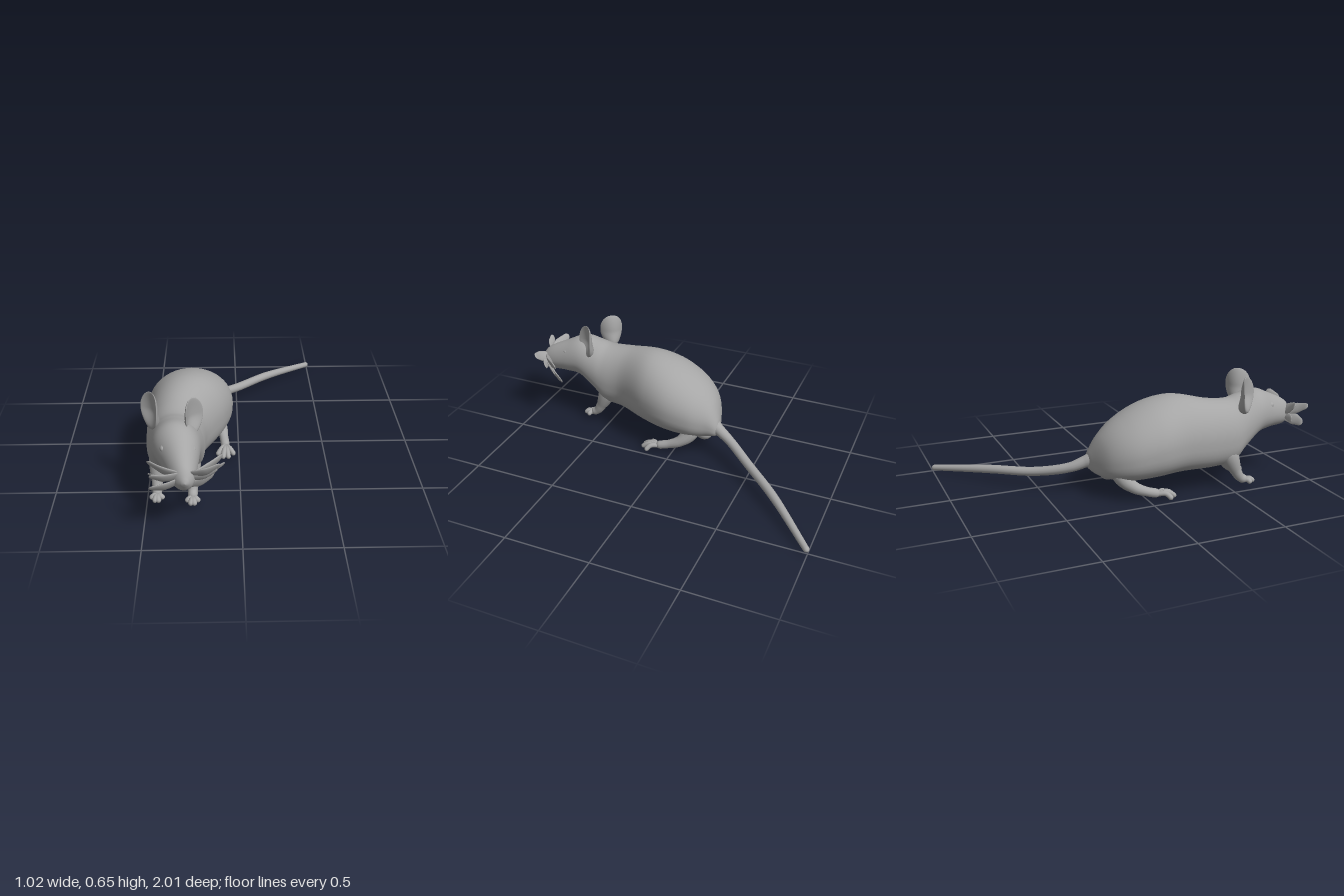
import * as THREE from 'three';

const V = (x, y, z) => new THREE.Vector3(x, y, z);

// Smooth skin over a list of closed rings of points
function skin(rings) {
  const n = rings[0].length, idx = [];
  for (let i = 0; i < rings.length - 1; i++) {
    for (let j = 0; j < n; j++) {
      const a = i * n + j, b = i * n + (j + 1) % n;
      idx.push(a, b, a + n, b, b + n, a + n);
    }
  }
  const g = new THREE.BufferGeometry().setFromPoints(rings.flat());
  g.setIndex(idx);
  g.computeVertexNormals();
  return g;
}

// Round-ended limb through points [x, y, z, radius]; flat squashes the section
function limb(pts, flat = 1, hint = V(1, 0, 0), steps = 32, sides = 14) {
  const spots = pts.map(p => V(p[0], p[1], p[2]));
  const curve = new THREE.CatmullRomCurve3(spots);
  const last = pts.length - 1, rings = [];
  const cap = (i, j) => Math.min(0.3, pts[i][3] / (spots[i].distanceTo(spots[j]) * last));
  const e0 = cap(0, 1), e1 = cap(last, last - 1);
  for (let i = 0; i <= steps; i++) {
    const u = (1 - Math.cos(Math.PI * i / steps)) / 2;
    const k = Math.min(last - 1, Math.floor(u * last));
    let r = THREE.MathUtils.lerp(pts[k][3], pts[k + 1][3], u * last - k);
    if (u < e0) r *= Math.sqrt(Math.max(0, 1 - ((e0 - u) / e0) ** 2));
    if (u > 1 - e1) r *= Math.sqrt(Math.max(0, 1 - ((u - 1 + e1) / e1) ** 2));
    const c = curve.getPoint(u), t = curve.getTangent(u);
    const n = hint.clone().addScaledVector(t, -hint.dot(t)).normalize();
    const b = t.clone().cross(n), ring = [];
    for (let j = 0; j < sides; j++) {
      const a = j / sides * Math.PI * 2;
      ring.push(c.clone().addScaledVector(n, r * Math.cos(a)).addScaledVector(b, r * flat * Math.sin(a)));
    }
    rings.push(ring);
  }
  return skin(rings);
}

// Trunk, neck and head: stations [z, x min, x max, y top, y bottom]
function bodyGeometry() {
  const stations = [
    [-0.268, -0.17, -0.15, 0.2, 0.18], [-0.255, -0.235, -0.13, 0.25, 0.145], [-0.2, -0.38, -0.1, 0.36, 0.12],
    [-0.1, -0.47, -0.05, 0.45, 0.108], [0.05, -0.51, -0.033, 0.526, 0.114], [0.2, -0.503, -0.07, 0.555, 0.126],
    [0.4, -0.5, -0.172, 0.522, 0.135], [0.52, -0.493, -0.187, 0.513, 0.15], [0.59, -0.475, -0.194, 0.528, 0.21],
    [0.7, -0.448, -0.204, 0.549, 0.288], [0.8, -0.4, -0.213, 0.51, 0.302], [0.93, -0.335, -0.232, 0.445, 0.312],
    [0.975, -0.285, -0.265, 0.385, 0.37],
  ];
  const xs = new THREE.CatmullRomCurve3(stations.map(s => V(s[1], s[2], s[0])));
  const ys = new THREE.CatmullRomCurve3(stations.map(s => V(s[3], s[4], s[0])));
  const rings = [], steps = 96, sides = 48;
  for (let i = 0; i <= steps; i++) {
    const p = xs.getPoint(i / steps), q = ys.getPoint(i / steps), ring = [];
    const shut = i === 0 || i === steps ? 0.001 : 1;
    const cy = q.y + (q.x - q.y) * 0.45;
    // the belly is squarer than the back, the head is round
    const belly = 0.76 + 0.24 * THREE.MathUtils.smoothstep(p.z, 0.5, 0.75);
    for (let j = 0; j < sides; j++) {
      const a = j / sides * Math.PI * 2, e = a > Math.PI ? belly : 1;
      const c = Math.sign(Math.cos(a)) * Math.abs(Math.cos(a)) ** e;
      const s = Math.sign(Math.sin(a)) * Math.abs(Math.sin(a)) ** e;
      ring.push(V((p.x + p.y) / 2 + shut * (p.y - p.x) / 2 * c,
        cy + shut * s * (s > 0 ? q.x - cy : cy - q.y), p.z));
    }
    rings.push(ring);
  }
  return skin(rings);
}

// Cupped ear with a thick root, facing +z before it is turned
function earGeometry() {
  const g = new THREE.SphereGeometry(1, 40, 32), p = g.attributes.position;
  for (let i = 0; i < p.count; i++) {
    const x = p.getX(i), y = p.getY(i), z = p.getZ(i);
    const root = Math.max(0, -y) ** 1.5;
    p.setXYZ(i, x * (0.07 + 0.008 * y), y * 0.105,
      z * (0.01 + 0.05 * root) + 0.035 * x * x + 0.012 * y * y - 0.02);
  }
  g.computeVertexNormals();
  return g;
}

export function createModel() {
  const model = new THREE.Group();
  model.name = 'mouse';
  const fur = new THREE.MeshStandardMaterial({ color: 0xa6a6a6 });
  fur.name = 'grey';
  const add = (name, geo, parent = model) => {
    const m = new THREE.Mesh(geo, fur);
    m.name = name;
    parent.add(m);
    return m;
  };
  const ball = (name, x, y, z, r) => {
    const m = add(name, new THREE.SphereGeometry(r, 24, 16));
    m.position.set(x, y, z);
    m.scale.z = 1.2;
  };

  add('body', bodyGeometry());

  // Tail
  add('tail', limb([
    [-0.19, 0.215, -0.2, 0.048], [-0.163, 0.185, -0.27, 0.034], [-0.128, 0.15, -0.35, 0.028],
    [0, 0.105, -0.51, 0.026], [0.2, 0.08, -0.72, 0.025], [0.505, 0.025, -1, 0.017],
  ], 1, V(0.75, 0, 0.66), 64));

  // Ears
  for (const [name, x, z, turn] of [['leftEar', -0.244, 0.638, 0.95], ['rightEar', -0.456, 0.572, -0.9]]) {
    const ear = add(name, earGeometry());
    ear.position.set(x, 0.55, z);
    ear.rotation.y = turn;
  }

  // Eyes, and the rounded lobes below the tail
  ball('leftEye', -0.242, 0.455, 0.785, 0.018);
  ball('rightEye', -0.385, 0.455, 0.775, 0.018);
  ball('leftLobe', -0.175, 0.138, -0.17, 0.043);
  ball('rightLobe', -0.245, 0.138, -0.165, 0.043);

  // Legs with fanned toes; the right ones are mirrored and set slightly back
  const frontPath = [[-0.28, 0.27, 0.49, 0.07], [-0.263, 0.18, 0.53, 0.052], [-0.256, 0.115, 0.56, 0.033],
    [-0.255, 0.07, 0.59, 0.026], [-0.255, 0.048, 0.63, 0.026]];
  const hindPath = [[-0.175, 0.24, -0.06, 0.085], [-0.14, 0.15, -0.1, 0.053], [-0.1, 0.09, -0.05, 0.034],
    [-0.086, 0.058, 0.02, 0.026], [-0.076, 0.036, 0.1, 0.026]];
  const addLeg = (name, path, mirror, spread, reach, toeY) => {
    for (const side of ['left', 'right']) {
      const g = new THREE.Group();
      g.name = side + name;
      const place = ([x, y, z, r]) => side === 'right' ? [mirror - x, y, z - 0.03, r] : [x, y, z, r];
      add('leg', limb(path.map(place)), g);
      const [x, y, z] = path.at(-1);
      for (let k = -1.5; k < 2; k++) {
        const dx = k * spread, dz = reach - 0.018 * k * k;
        add('toe', limb([
          [x, y, z - 0.02, 0.014], [x + dx / 2, y + 0.004, z + dz / 2, 0.015], [x + dx, toeY, z + dz, 0.014],
        ].map(place), 1, V(1, 0, 0), 20, 12), g);
      }
      model.add(g);
    }
  };
  addLeg('FrontLeg', frontPath, -0.7, 0.025, 0.05, 0.036);
  addLeg('HindLeg', hindPath, -0.495, 0.034, 0.095, 0.012);

  // Flat whisker clumps fanning from the muzzle: tip x, y, z and widest half-width
  const tips = [
    [-0.46, 0.455, 0.89, 0.036], [-0.44, 0.44, 0.995, 0.032], [-0.45, 0.342, 0.955, 0.034], [-0.46, 0.37, 0.87, 0.02],
    [-0.105, 0.46, 0.93, 0.034], [-0.095, 0.42, 0.79, 0.042], [-0.14, 0.295, 0.77, 0.036], [-0.085, 0.375, 0.79, 0.026],
    [-0.12, 0.39, 0.87, 0.03],
  ];
  tips.forEach(([x, y, z, w], i) => {
    const rootX = x < -0.27 ? -0.305 : -0.25, rootY = 0.37 + (y - 0.37) * 0.3;
    add('whiskerClump' + (i + 1), limb([
      [rootX, rootY, 0.92, w * 0.9],
      [(rootX + x) / 2, (rootY + y) / 2 - 0.004, (0.92 + z) / 2 + 0.012, w],
      [x, y, z, w * 0.5],
    ], 0.25, V(0, 1, 0.6), 24, 12));
  });

  return model;
}
